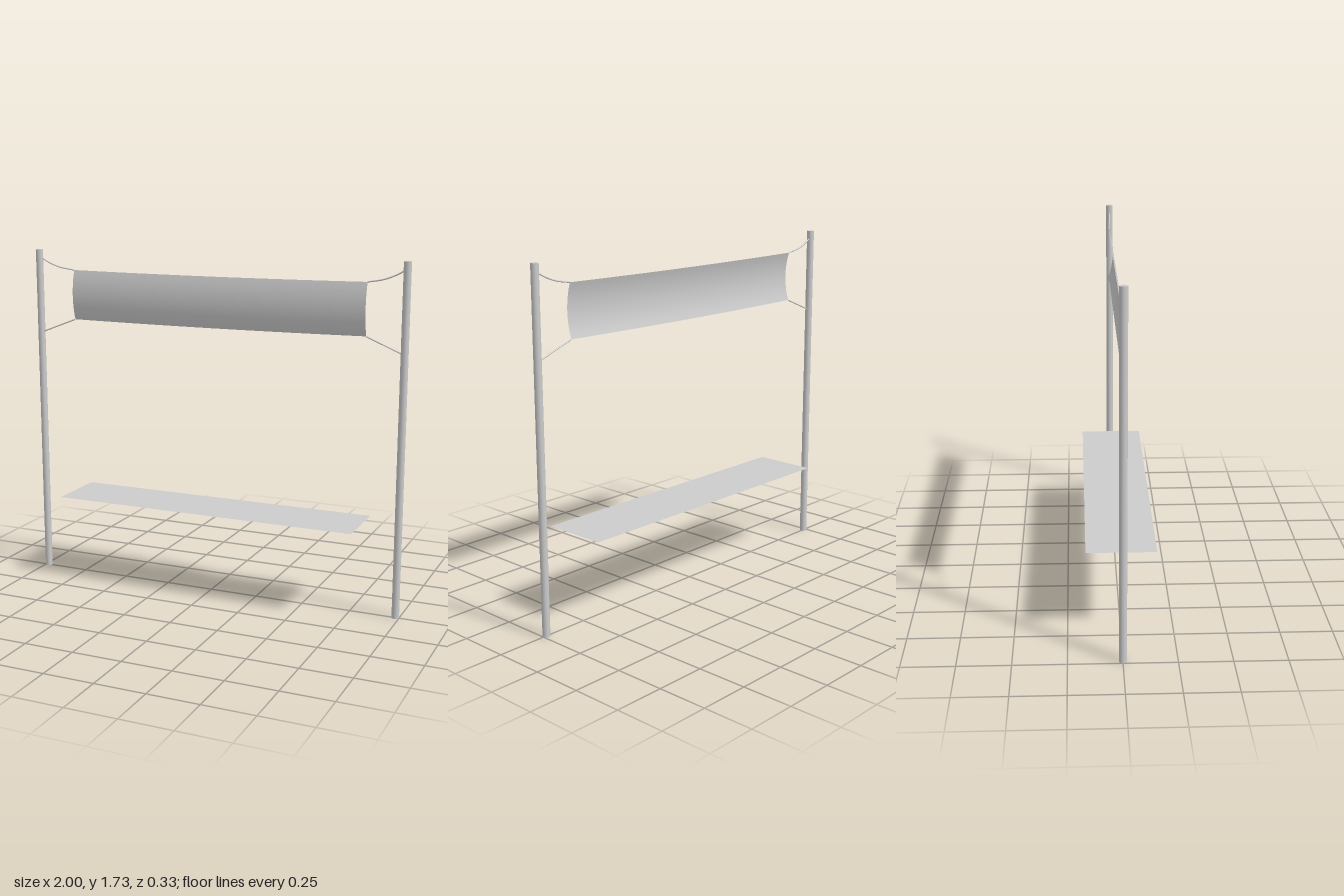
import * as THREE from 'three';

const V = (x, y, z) => new THREE.Vector3(x, y, z);

export function createModel() {
  const group = new THREE.Group();
  const grey = new THREE.MeshStandardMaterial({ color: 0xcccccc });
  const sheet = new THREE.MeshStandardMaterial({ color: 0xcccccc, side: THREE.DoubleSide });

  const add = (name, geometry, material = grey) => {
    const mesh = new THREE.Mesh(geometry, material);
    mesh.name = name;
    group.add(mesh);
    return mesh;
  };

  // Banner cloth: bellied towards the front, sagging slightly in the middle
  const bannerX = 0.005, halfW = 0.786, top = 1.628, bottom = 1.372;
  const banner = new THREE.PlaneGeometry(2 * halfW, top - bottom, 32, 12);
  const pos = banner.attributes.position;
  for (let i = 0; i < pos.count; i++) {
    const u = pos.getX(i) / halfW;
    const v = pos.getY(i) / ((top - bottom) / 2);
    pos.setXYZ(i,
      pos.getX(i) + bannerX,
      pos.getY(i) + (top + bottom) / 2 - 0.005 * (1 - u * u),
      -0.01 + 0.022 * (1 - v * v));
  }
  banner.computeVertexNormals();
  add('banner', banner, sheet);

  // Poles, each with a slack upper rope and a taut lower rope
  for (const [side, s] of [['left', 1], ['right', -1]]) {
    const pole = add(side + 'Pole', new THREE.CylinderGeometry(0.0185, 0.0185, 1.73, 20));
    pole.position.set(s * 0.9815, 0.865, 0);

    const endX = bannerX + s * halfW;
    const upper = new THREE.CatmullRomCurve3([
      V(s * 0.975, 1.692, 0), V(s * 0.935, 1.668, -0.002),
      V(s * 0.87, 1.643, -0.005), V(endX, top, -0.009),
    ]);
    const lower = new THREE.LineCurve3(V(s * 0.975, 1.298, 0), V(endX, bottom, -0.009));
    add(side + 'UpperRope', new THREE.TubeGeometry(upper, 16, 0.0035, 8));
    add(side + 'LowerRope', new THREE.TubeGeometry(lower, 2, 0.0035, 8));
  }

  // Flat panel hanging level between the poles
  const panel = add('flatPanel', new THREE.PlaneGeometry(1.59, 0.326), sheet);
  panel.rotation.x = -Math.PI / 2;
  panel.position.y = 0.45;

  return group;
}
